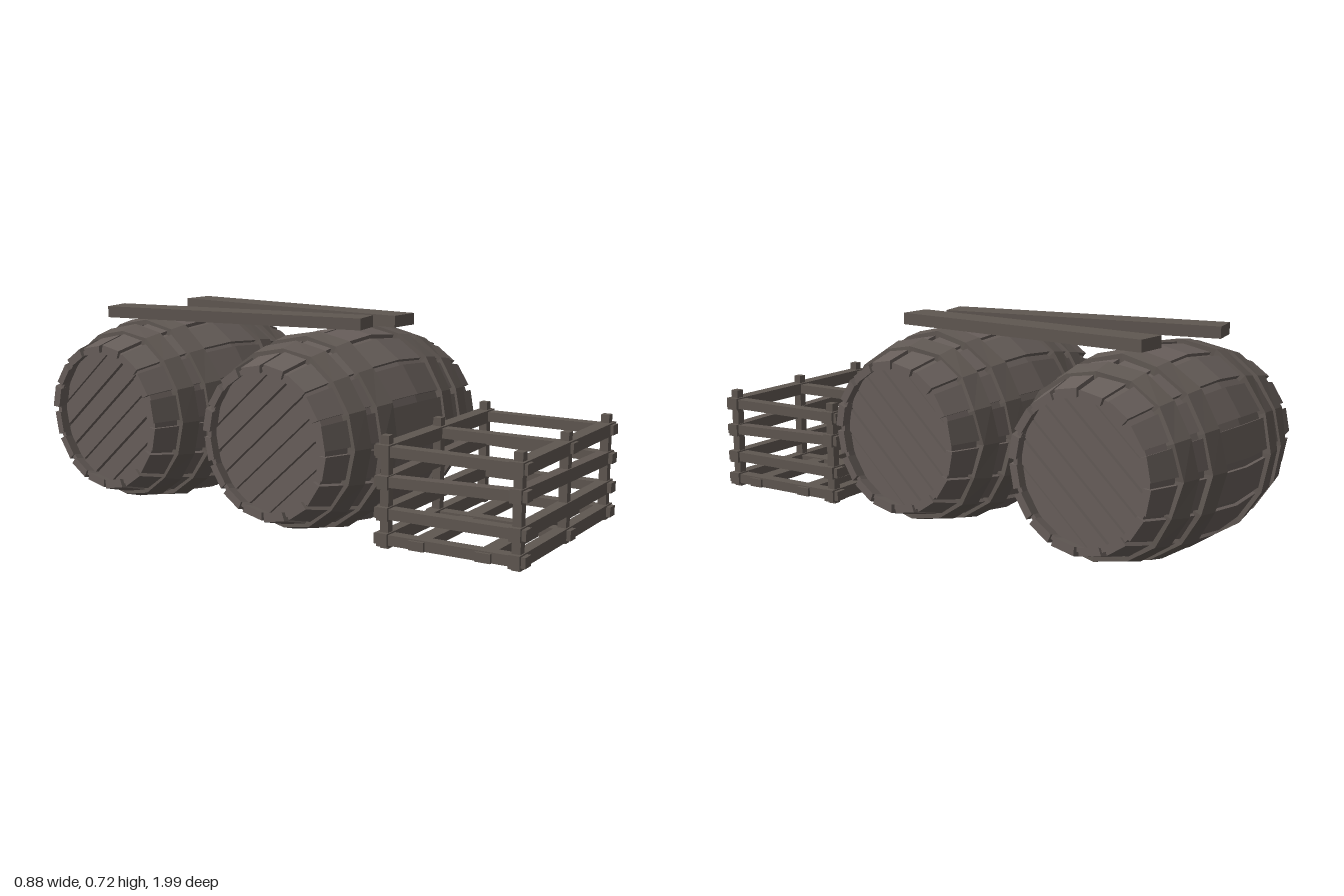
import * as THREE from 'three';
import { mergeGeometries } from 'three/addons/utils/BufferGeometryUtils.js';

const mat = (name, color) => {
  const m = new THREE.MeshStandardMaterial({ color, flatShading: true });
  m.name = name;
  return m;
};

// Small seeded generator, returns -1..1
function seeded(seed) {
  let s = seed;
  return () => {
    s = (s * 16807) % 2147483647;
    return (s / 2147483647) * 2 - 1;
  };
}

// Joins equal cross-sections into a faceted solid; capped unless closed
function loft(rings, closed = false) {
  const n = rings[0].length, pos = [];
  const tri = (a, b, c) => pos.push(...a, ...b, ...c);
  const count = closed ? rings.length : rings.length - 1;
  for (let i = 0; i < count; i++) {
    const p = rings[i], q = rings[(i + 1) % rings.length];
    for (let k = 0; k < n; k++) {
      const m = (k + 1) % n;
      tri(p[k], p[m], q[m]);
      tri(p[k], q[m], q[k]);
    }
  }
  if (!closed) {
    const a = rings[0], b = rings[rings.length - 1];
    for (let k = 1; k < n - 1; k++) {
      tri(a[0], a[k + 1], a[k]);
      tri(b[0], b[k], b[k + 1]);
    }
  }
  const g = new THREE.BufferGeometry();
  g.setAttribute('position', new THREE.Float32BufferAttribute(pos, 3));
  g.computeVertexNormals();
  return g;
}

const STAVES = 16, STEP = (Math.PI * 2) / STAVES;
const bulge = (x) => 0.34 - 0.082 * Math.pow(Math.abs(x) / 0.435, 1.6);
const polar = (x, r, a) => [x, r * Math.cos(a), r * Math.sin(a)];

// One curved board of the barrel wall between two angles
function stave(a0, a1, drop, half) {
  const rings = [-1, -0.72, -0.36, 0, 0.36, 0.72, 1].map((t) => {
    const x = t * half, r = bulge(x) - drop, inner = bulge(x) - 0.03;
    return [polar(x, inner, a0), polar(x, r, a0), polar(x, r, a1), polar(x, inner, a1)];
  });
  return loft(rings);
}

// Slightly uneven band around the barrel
function hoop(cx, rnd) {
  const rings = [];
  for (let i = 0; i < STAVES; i++) {
    const x = cx + rnd() * 0.009, a = i * STEP, w = 0.034;
    const r0 = bulge(x - w) + 0.013 + rnd() * 0.003, r1 = bulge(x + w) + 0.013 + rnd() * 0.003;
    rings.push([polar(x - w, r0 - 0.03, a), polar(x + w, r1 - 0.03, a), polar(x + w, r1, a), polar(x - w, r0, a)]);
  }
  return loft(rings, true);
}

// Round barrel end made of parallel planks, facing +x or -x
function head(side, rnd) {
  const R = 0.246, n = 7, w = (2 * R) / n, parts = [];
  const chord = (v) => Math.sqrt(Math.max(R * R - v * v, 0.0016));
  for (let i = 0; i < n; i++) {
    const v0 = -R + i * w + 0.004, v1 = -R + (i + 1) * w - 0.004;
    const x = side * (0.372 + rnd() * 0.004), rings = [];
    for (const px of [x - 0.012, x + 0.012]) {
      const vs = [v0, (v0 + v1) / 2, v1];
      const right = vs.map((v) => [px, v, chord(v)]);
      const left = vs.map((v) => [px, v, -chord(v)]).reverse();
      rings.push([...left, ...right].reverse());
    }
    // ring order runs counter-clockwise about +x
    rings.forEach((r) => r.reverse());
    const area = rings[0].reduce((s, p, k, r) => {
      const q = r[(k + 1) % r.length];
      return s + p[1] * q[2] - q[1] * p[2];
    }, 0);
    if (area < 0) rings.forEach((r) => r.reverse());
    parts.push(loft(rings));
  }
  const g = mergeGeometries(parts);
  g.rotateX(-0.72);
  return g;
}

export function createModel() {
  const model = new THREE.Group();
  model.name = 'barrelsAndCrate';
  const barrelWood = mat('barrelWood', 0x675e5a);
  const hoopMat = mat('hoop', 0x605853);
  const boardMat = mat('boardWood', 0x5f5751);
  const add = (parent, name, geo, material) => {
    const m = new THREE.Mesh(geo, material);
    m.name = name;
    parent.add(m);
    return m;
  };
  const box = (parent, name, size, at) => {
    const m = add(parent, name, new THREE.BoxGeometry(...size), boardMat);
    m.position.set(...at);
    return m;
  };

  // Barrels lying on their sides
  [['frontBarrel', 0.092, 77], ['backBarrel', -0.655, 77]].forEach(([name, z, seed]) => {
    const rnd = seeded(seed), barrel = new THREE.Group();
    barrel.name = name;
    barrel.position.set(-0.008, 0.349, z);
    const boards = [], grooves = [];
    for (let i = 0; i < STAVES; i++) {
      const a = i * STEP, g0 = a + STEP * (0.1 + rnd() * 0.03), g1 = a + STEP * (0.9 + rnd() * 0.03);
      boards.push(stave(g0, g1, 0.002 + rnd() * 0.003, 0.432 + rnd() * 0.005));
      grooves.push(stave(a - STEP * 0.14, a + STEP * 0.14, 0.014, 0.42));
    }
    add(barrel, 'staves', mergeGeometries(boards), barrelWood);
    add(barrel, 'staveGrooves', mergeGeometries(grooves), barrelWood);
    [-0.3, -0.178, 0.173, 0.298].forEach((x) => add(barrel, 'hoop', hoop(x, rnd), hoopMat));
    [-1, 1].forEach((s) => {
      add(barrel, 'head', head(s, rnd), barrelWood);
      const backing = add(barrel, 'headBacking', new THREE.CylinderGeometry(0.246, 0.246, 0.016, 16), barrelWood);
      backing.rotation.z = Math.PI / 2;
      backing.position.x = s * 0.36;
    });
    model.add(barrel);
  });

  // Loose planks resting on top
  box(model, 'straightPlank', [0.115, 0.04, 0.97], [0.128, 0.709, -0.235]);
  box(model, 'slantedPlank', [0.112, 0.04, 0.985], [-0.137, 0.709, -0.283]).rotation.y = 0.254;

  // Slatted crate
  const crate = new THREE.Group();
  crate.name = 'crate';
  crate.position.set(0.037, 0, 0.695);
  crate.rotation.y = 0.1;
  model.add(crate);
  const X = 0.347, Z = 0.224, levels = [0.084, 0.167, 0.275, 0.365];
  for (const z of [-Z, Z]) {
    for (const x of [-X, 0, X]) box(crate, 'post', [0.029, 0.36, 0.029], [x, 0.234, z]);
    levels.forEach((y, i) => {
      const rail = box(crate, 'longRail', [0.755, 0.043, i === 3 ? 0.046 : 0.038], [0, y, z]);
      rail.rotation.z = i === 2 ? -0.022 * Math.sign(z) : 0;
    });
  }
  for (const x of [-X, X]) {
    levels.forEach((y, i) => {
      const rail = box(crate, 'sideRail', [0.042, 0.034, 0.515], [x, y, 0]);
      rail.rotation.x = i === 2 ? 0.03 * Math.sign(x) : 0;
    });
  }
  // Middle cross bars and floor slats
  for (const y of [levels[0], levels[3]]) box(crate, 'middleBar', [0.042, 0.034, 0.515], [0, y, 0]);
  for (const z of [-0.103, 0.122]) box(crate, 'floorSlat', [0.755, 0.03, 0.052], [0, 0.082, z]);

  return model;
}
